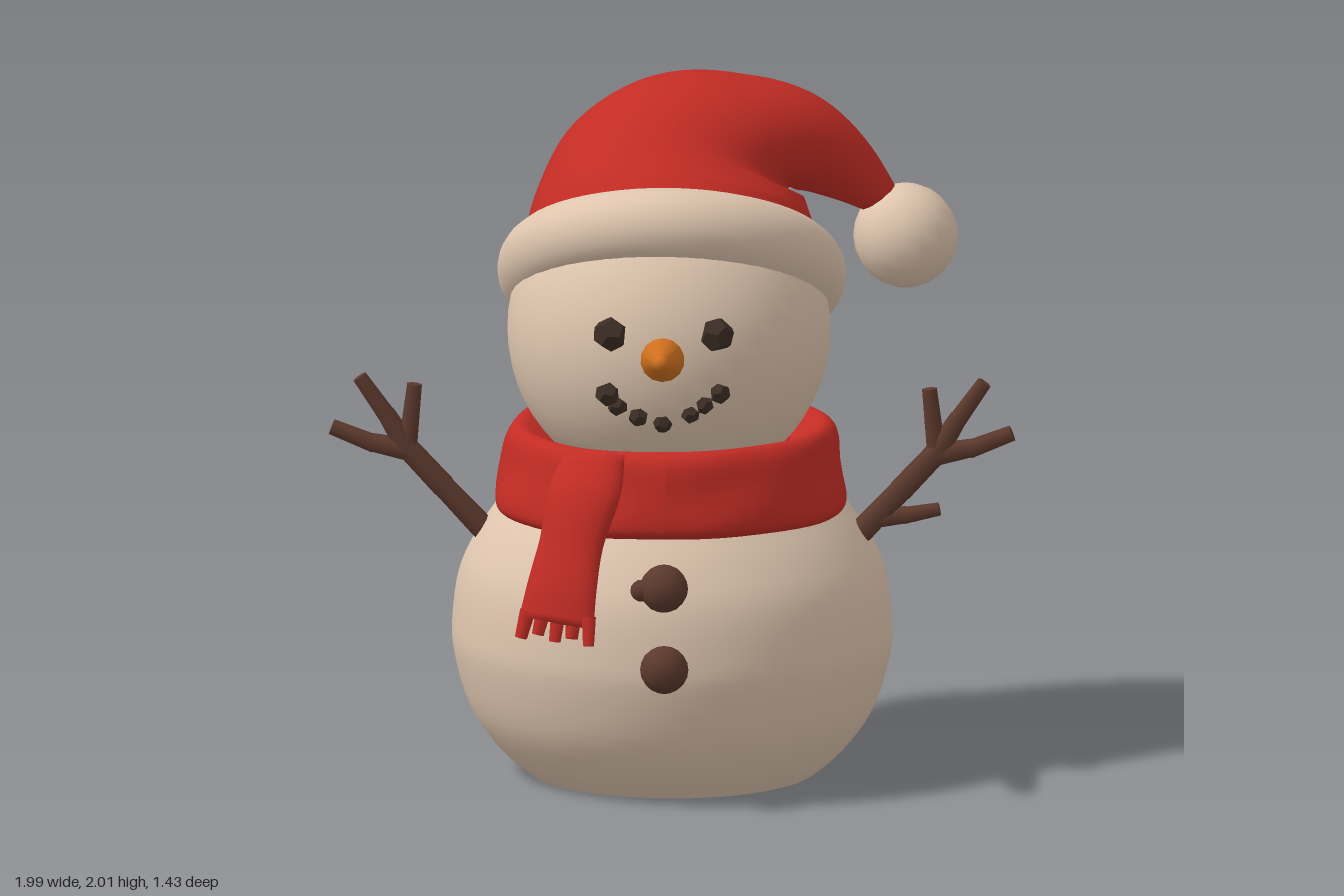
import * as THREE from 'three';

const V = (x, y, z) => new THREE.Vector3(x, y, z);

// Smooth closed skin through elliptical sections: [centre, normal, half width u, half depth v]
function loft(sections, ref, steps, sides) {
  const centres = new THREE.CatmullRomCurve3(sections.map(s => V(...s[0])));
  const normals = new THREE.CatmullRomCurve3(sections.map(s => V(...s[1])));
  const radii = new THREE.CatmullRomCurve3(sections.map(s => V(s[2], s[3], 0)));
  const pos = [], idx = [];
  for (let i = 0; i <= steps; i++) {
    const t = i / steps;
    const c = centres.getPoint(t), n = normals.getPoint(t).normalize(), r = radii.getPoint(t);
    const v = ref.clone().addScaledVector(n, -ref.dot(n)).normalize();
    const u = n.clone().cross(v);
    for (let j = 0; j < sides; j++) {
      const a = j / sides * Math.PI * 2;
      const p = c.clone().addScaledVector(u, r.x * Math.cos(a)).addScaledVector(v, -r.y * Math.sin(a));
      pos.push(p.x, p.y, p.z);
      if (i < steps) {
        const k = i * sides, a0 = k + j, b0 = k + (j + 1) % sides;
        idx.push(a0, b0, a0 + sides, b0, b0 + sides, a0 + sides);
      }
    }
  }
  // end caps
  const last = steps * sides;
  for (let j = 1; j < sides - 1; j++) idx.push(0, j + 1, j, last, last + j, last + j + 1);
  const g = new THREE.BufferGeometry();
  g.setAttribute('position', new THREE.Float32BufferAttribute(pos, 3));
  g.setIndex(idx);
  g.computeVertexNormals();
  return g;
}

// Lathe with a smooth spline profile
function spun(points, steps, segments) {
  const curve = new THREE.SplineCurve(points.map(p => new THREE.Vector2(...p)));
  const pts = curve.getPoints(steps).map(p => new THREE.Vector2(Math.max(p.x, 0), p.y));
  return new THREE.LatheGeometry(pts, segments);
}

export function createModel() {
  const model = new THREE.Group();
  model.name = 'snowman';
  const mat = (name, color, flatShading = false) => {
    const m = new THREE.MeshStandardMaterial({ color, flatShading });
    m.name = name;
    return m;
  };
  const snow = mat('snow', 0xdec5ae);
  const red = mat('redCloth', 0xc22c24);
  const orange = mat('carrotOrange', 0xd0701e);
  const wood = mat('woodBrown', 0x5c392d);
  const coal = mat('coal', 0x3b2d25, true);

  const add = (name, geometry, material, x = 0, y = 0, z = 0, parent = model) => {
    const m = new THREE.Mesh(geometry, material);
    m.name = name;
    m.position.set(x, y, z);
    parent.add(m);
    return m;
  };

  // Tapered rod between two points
  const rod = (name, a, b, r0, r1, material, sides, parent) => {
    const d = b.clone().sub(a);
    const m = add(name, new THREE.CylinderGeometry(r1, r0, d.length(), sides), material,
      ...a.clone().add(b).multiplyScalar(0.5).toArray(), parent);
    m.quaternion.setFromUnitVectors(V(0, 1, 0), d.normalize());
    return m;
  };

  // Body with a flat base
  const body = add('body', spun([[0.42, 0], [0.5, 0.07], [0.585, 0.19], [0.632, 0.35], [0.636, 0.45],
    [0.618, 0.58], [0.575, 0.68], [0.5, 0.79], [0.4, 0.88], [0, 0.95]], 36, 48), snow, 0, 0, -0.09);
  body.scale.z = 0.975;
  const base = add('base', new THREE.CircleGeometry(0.42, 48), snow, 0, 0, -0.09);
  base.rotation.x = Math.PI / 2;
  base.scale.y = 0.975;

  // Head
  add('head', new THREE.SphereGeometry(0.468, 40, 28), snow, -0.01, 1.3, -0.1);

  // Scarf ring with soft wrinkles
  const ring = spun([[0.34, 0.98], [0.36, 0.8], [0.45, 0.775], [0.5, 0.79], [0.51, 0.83], [0.49, 0.92],
    [0.475, 1.0], [0.44, 1.03], [0.39, 1.01], [0.34, 0.98]], 36, 64);
  const rp = ring.attributes.position;
  for (let i = 0; i < rp.count; i++) {
    const x = rp.getX(i), y = rp.getY(i), z = rp.getZ(i), a = Math.atan2(x, z);
    const k = 1 + 0.012 * Math.sin(3 * a + 14 * y) + 0.006 * Math.sin(8 * a - 25 * y);
    rp.setXYZ(i, x * k, y + 0.008 * Math.sin(2 * a + 1), z * k * 1.03);
  }
  ring.computeVertexNormals();
  add('scarfRing', ring, red, 0, 0, -0.09);

  // Hanging scarf end with fringe
  add('scarfEnd', loft([
    [[-0.21, 1.02, 0.34], [0, -0.95, 0.3], 0.10, 0.045],
    [[-0.235, 0.92, 0.4], [-0.1, -1, 0.25], 0.115, 0.05],
    [[-0.27, 0.78, 0.44], [-0.15, -1, 0.2], 0.1, 0.045],
    [[-0.295, 0.66, 0.475], [-0.15, -1, 0.2], 0.11, 0.042],
    [[-0.31, 0.56, 0.495], [-0.15, -1, 0.15], 0.12, 0.035],
  ], V(-0.4, 0, 0.9), 20, 20), red);
  for (let i = 0; i < 5; i++) {
    const s = (i - 2) * 0.05;
    rod('scarfTassel', V(-0.305 + s * 0.9, 0.585, 0.495 + s * 0.42),
      V(-0.315 + s, 0.505 + (i % 2) * 0.015, 0.51 + s * 0.5), 0.023, 0.018, red, 6, model);
  }

  // Hat: fur brim, drooping cone and pompom
  const brim = add('hatBrim', new THREE.TorusGeometry(0.42, 0.112, 18, 56), snow, -0.005, 1.45, -0.18);
  brim.rotation.x = -(Math.PI / 2 + 0.54);
  brim.scale.x = 0.95;
  add('hatCone', loft([
    [[-0.01, 1.52, -0.22], [0, 0.857, -0.515], 0.43, 0.45],
    [[0, 1.63, -0.265], [0.1, 0.9, -0.42], 0.4, 0.41],
    [[0.04, 1.75, -0.31], [0.3, 0.93, -0.28], 0.35, 0.34],
    [[0.13, 1.815, -0.35], [0.65, 0.75, -0.18], 0.265, 0.28],
    [[0.26, 1.825, -0.38], [0.9, 0.35, -0.15], 0.175, 0.215],
    [[0.39, 1.775, -0.42], [0.9, -0.25, -0.15], 0.135, 0.15],
    [[0.5, 1.69, -0.45], [0.75, -0.6, -0.1], 0.095, 0.1],
    [[0.61, 1.59, -0.46], [0.65, -0.75, 0], 0.045, 0.05],
  ], V(0, 0, 1), 42, 36), red);
  add('hatPompom', new THREE.SphereGeometry(0.152, 16, 12), snow, 0.66, 1.5, -0.46);

  // Carrot nose
  rod('nose', V(-0.01, 1.305, 0.33), V(0, 1.375, 0.69), 0.068, 0.024, orange, 14, model);
  add('noseTip', new THREE.SphereGeometry(0.024, 12, 8), orange, 0, 1.375, 0.69);

  // Coal eyes and smile, seated on the head surface
  const stone = (name, x, y, r, turn) => {
    const z = -0.1 + Math.sqrt(0.468 ** 2 - (x + 0.01) ** 2 - (y - 1.3) ** 2);
    const m = add(name, new THREE.DodecahedronGeometry(r), coal, x, y, z);
    m.rotation.set(turn, turn * 1.7, turn * 0.6);
  };
  stone('eye', -0.16, 1.38, 0.052, 0.4);
  stone('eye', 0.147, 1.38, 0.052, 1.1);
  [[-0.168, 1.2, 0.038], [-0.14, 1.165, 0.03], [-0.08, 1.135, 0.03], [-0.01, 1.115, 0.028],
    [0.07, 1.142, 0.027], [0.112, 1.172, 0.028], [0.155, 1.205, 0.032]]
    .forEach(([x, y, r], i) => stone('mouthStone', x, y, r, 0.3 + i * 0.9));

  // Buttons
  add('button', new THREE.SphereGeometry(0.07, 14, 10), wood, 0, 0.66, 0.485);
  add('buttonKnob', new THREE.SphereGeometry(0.032, 10, 8), wood, -0.065, 0.655, 0.49);
  add('button', new THREE.SphereGeometry(0.07, 14, 10), wood, 0.003, 0.43, 0.53);

  // Twig arms: points in the x-y plane, mirrored by side
  const twigs = [
    [[0.52, 0.68], [0.66, 0.83], 0.038, 0.034],
    [[0.66, 0.83], [0.78, 0.96], 0.036, 0.034],
    [[0.77, 0.94], [0.87, 0.96], 0.034, 0.028],
    [[0.86, 0.955], [0.985, 1.005], 0.028, 0.024],
    [[0.77, 0.95], [0.83, 1.05], 0.034, 0.027],
    [[0.825, 1.04], [0.905, 1.155], 0.027, 0.022],
    [[0.765, 0.95], [0.745, 1.135], 0.028, 0.022],
  ];
  const thumb = [[[0.6, 0.75], [0.68, 0.76], 0.03, 0.026], [[0.67, 0.757], [0.775, 0.778], 0.026, 0.02]];
  for (const side of [1, -1]) {
    const arm = new THREE.Group();
    arm.name = side > 0 ? 'leftArm' : 'rightArm';
    arm.position.z = -0.065;
    model.add(arm);
    for (const [a, b, r0, r1] of side > 0 ? [...twigs, ...thumb] : twigs)
      rod('twig', V(a[0] * side, a[1], 0), V(b[0] * side, b[1], 0), r0, r1, wood, 7, arm);
  }

  return model;
}
